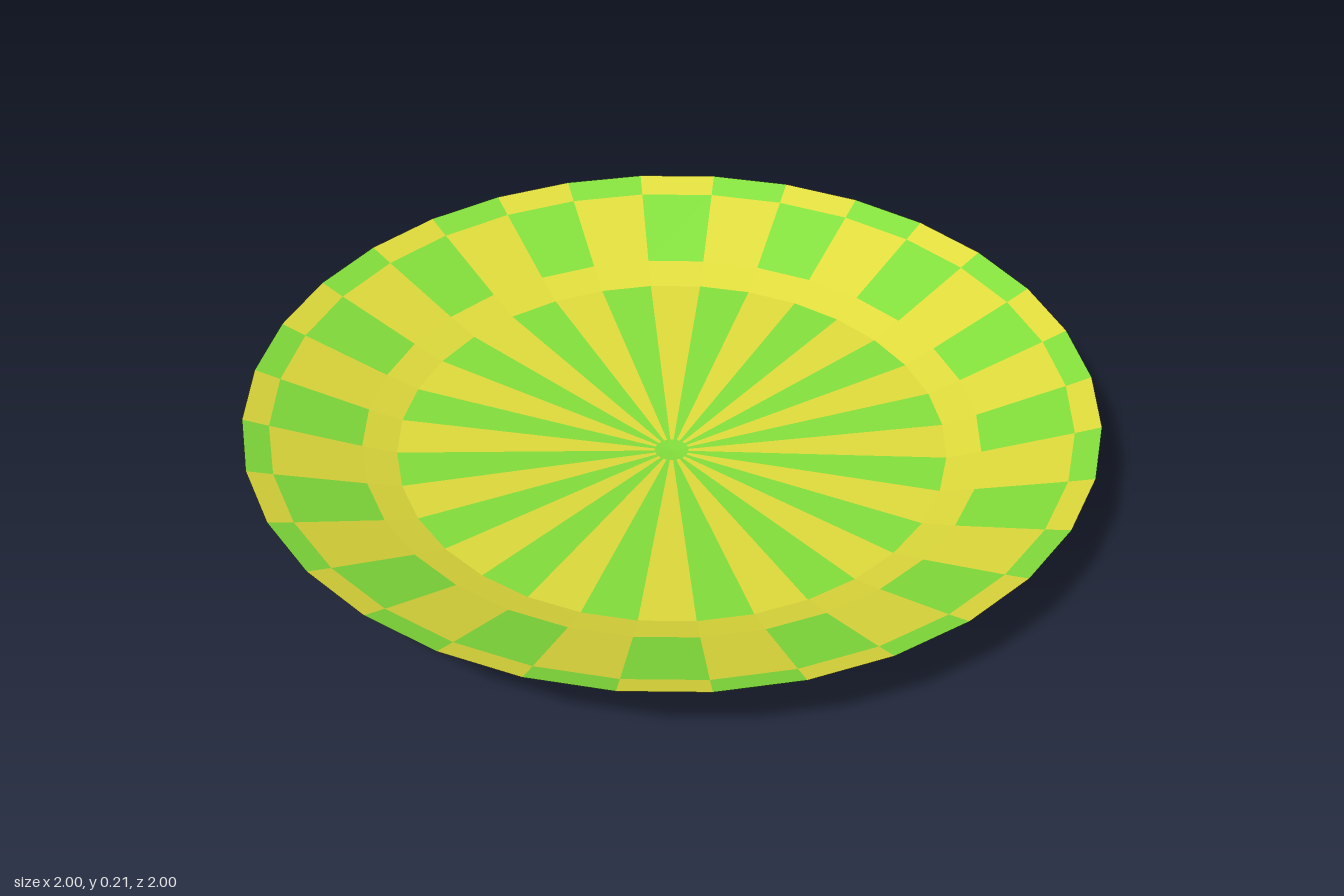
import * as THREE from 'three';

const SIDES = 32;
const YELLOW = 0xe0dc3c, GREEN = 0x84e03c;
const DARK_GREEN = 0x5a9e2c, BROWN = 0x8a7424;

// Point on the circle; angle runs clockwise from the back, seen from above
function ringPoint([r, y], i) {
  const a = (i / SIDES) * Math.PI * 2;
  return [r * Math.sin(a), y, -r * Math.cos(a)];
}

// Flat facets between an inner and an outer [radius, height], for the sectors kept by the test
function ringGeometry(inner, outer, facesUp, keep = () => true) {
  const pos = [];
  for (let i = 0; i < SIDES; i++) {
    if (!keep(i)) continue;
    const a = ringPoint(inner, i), b = ringPoint(inner, i + 1);
    const c = ringPoint(outer, i + 1), d = ringPoint(outer, i);
    const tris = [[a, d, c]];
    if (inner[0] > 0) tris.push([a, c, b]);
    for (const [p, q, r] of tris) pos.push(...p, ...(facesUp ? [...r, ...q] : [...q, ...r]));
  }
  const geo = new THREE.BufferGeometry();
  geo.setAttribute('position', new THREE.Float32BufferAttribute(pos, 3));
  geo.computeVertexNormals();
  return geo;
}

export function createModel() {
  const plate = new THREE.Group();
  plate.name = 'plate';

  const add = (name, color, geo) => {
    const mat = new THREE.MeshStandardMaterial({ color, flatShading: true });
    const mesh = new THREE.Mesh(geo, mat);
    mesh.name = name;
    plate.add(mesh);
  };
  // A ring of alternating green and yellow sectors
  const addChecks = (name, inner, outer, greenParity) => {
    add(name + 'Green', GREEN, ringGeometry(inner, outer, true, i => i % 2 === greenParity));
    add(name + 'Yellow', YELLOW, ringGeometry(inner, outer, true, i => i % 2 !== greenParity));
  };

  // Upper side: hub, spokes, plain ring, checked wall and rim
  const hub = [0.04, 0.057], floor = [0.65, 0.09], step = [0.73, 0.115];
  const wall = [0.94, 0.188], rim = [1, 0.21];
  add('hub', GREEN, ringGeometry([0, 0.055], hub, true));
  addChecks('spokes', hub, floor, 0);
  add('innerRing', YELLOW, ringGeometry(floor, step, true));
  addChecks('wall', step, wall, 1);
  addChecks('rim', wall, rim, 0);

  // Underside: flat foot, sloping base, coloured band and flared edge
  const foot = [0.43, 0], bandLow = [0.715, 0.09], bandHigh = [0.785, 0.113];
  add('foot', BROWN, ringGeometry([0, 0], foot, false));
  add('base', DARK_GREEN, ringGeometry(foot, bandLow, false));
  add('undersideBand', BROWN, ringGeometry(bandLow, bandHigh, false));
  add('flare', DARK_GREEN, ringGeometry(bandHigh, rim, false));

  return plate;
}
